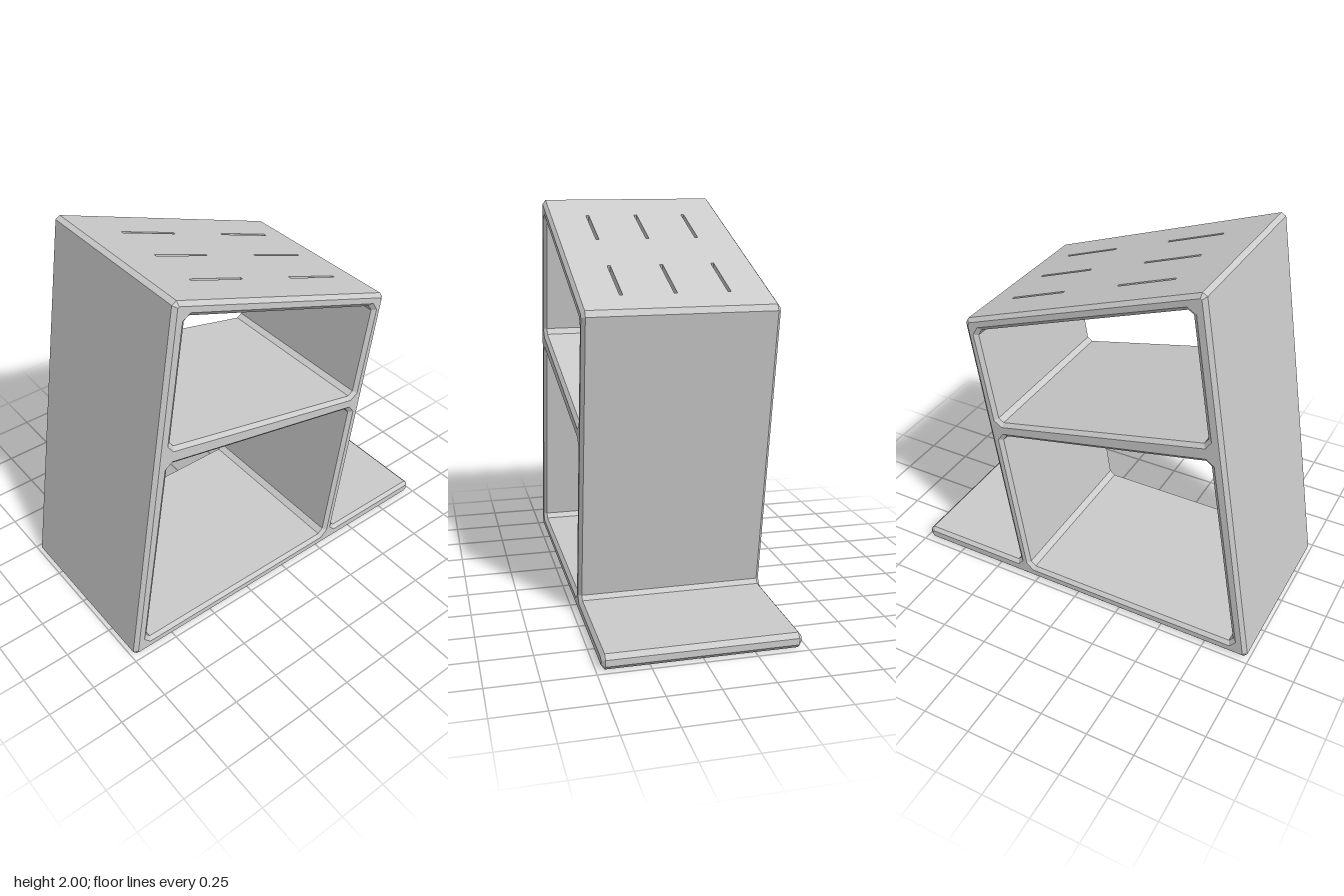
import * as THREE from 'three';
import { mergeGeometries } from 'three/addons/utils/BufferGeometryUtils.js';

const HALF = 0.475, BEVEL_Z = 0.017, BEVEL = 0.02;
const THICK = 0.07; // top panel thickness

// Top panel frame: origin at its upper left corner, u runs down the slope, n points out
const A = new THREE.Vector3(-0.66, 2.007, 0);
const B = new THREE.Vector3(0.593, 1.55, 0);
const u = B.clone().sub(A).normalize();
const n = new THREE.Vector3(-u.y, u.x, 0);
const Z = new THREE.Vector3(0, 0, 1);
const underside = (x) => A.y + (u.y / u.x) * (x - A.x) - THICK / u.x;

// Cut every corner of a polygon back by d
function chamfer(corners, d) {
  const pts = corners.map(([x, y]) => new THREE.Vector2(x, y));
  return pts.flatMap((p, i) => {
    const prev = pts[(i + pts.length - 1) % pts.length];
    const next = pts[(i + 1) % pts.length];
    return [prev, next].map((q) => p.clone().add(q.clone().sub(p).setLength(d)));
  });
}

// Distance of a point below the top panel's outer plane
const depthOf = (x, y) => -((x - A.x) * n.x + (y - A.y) * n.y);
// Extent along the slope of the profile points lying at a given depth
function span(pts, depth) {
  const us = pts.filter((p) => Math.abs(depthOf(p.x, p.y) - depth) < 1e-4)
    .map((p) => (p.x - A.x) * u.x + (p.y - A.y) * u.y);
  return [Math.min(...us), Math.max(...us)];
}

const slots = [];
for (const x of [-0.285, 0.295])
  for (const z of [-0.263, 0, 0.263]) slots.push({ u: (x - A.x) / u.x, z, l: 0.29 / u.x, w: 0.016 });

const rect = (T, x0, x1, y0, y1) => new T([[x0, y0], [x1, y0], [x1, y1], [x0, y1]]
  .map(([x, y]) => new THREE.Vector2(x, y)));

// One slotted face of the top panel
function slottedFace([u0, u1], depth, side) {
  const h = HALF - BEVEL_Z;
  const shape = rect(THREE.Shape, u0, u1, -h, h);
  for (const s of slots)
    shape.holes.push(rect(THREE.Path, s.u - s.l / 2, s.u + s.l / 2, s.z - s.w / 2, s.z + s.w / 2));
  const m = new THREE.Matrix4().makeBasis(u, Z.clone().multiplyScalar(-side), n.clone().multiplyScalar(side));
  m.setPosition(A.clone().addScaledVector(n, -depth));
  return new THREE.ShapeGeometry(shape).applyMatrix4(m).toNonIndexed();
}

// Four inward-facing walls of a slot
function slotWalls(s) {
  const g = new THREE.BoxGeometry(s.l, THICK, s.w);
  const index = Array.from(g.index.array).filter((_, i) => i < 12 || i >= 24);
  g.setIndex(index.reverse());
  g.applyMatrix4(new THREE.Matrix4().makeBasis(u, n, Z));
  const c = A.clone().addScaledVector(u, s.u).addScaledVector(n, -THICK / 2);
  g.translate(c.x, c.y, s.z);
  const flat = g.toNonIndexed();
  flat.computeVertexNormals();
  return flat;
}

export function createModel() {
  const group = new THREE.Group();
  const material = new THREE.MeshStandardMaterial({ color: 0xcccccc, flatShading: true });
  const add = (name, geometry) => {
    const mesh = new THREE.Mesh(geometry, material);
    mesh.name = name;
    group.add(mesh);
  };

  // Leaning frame with shelf and foot, as one profile with two openings
  const outer = chamfer([[-0.99, 0], [0.98, 0], [0.98, 0.076], [0.359, 0.076], [B.x, B.y], [A.x, A.y]], 0.022);
  const upper = chamfer([[-0.602, underside(-0.602)], [0.525, underside(0.525)],
    [0.437, 0.985], [-0.71, 1.25]], 0.025);
  const lower = chamfer([[-0.725, 1.155], [0.425, 0.905], [0.295, 0.07], [-0.907, 0.07]], 0.025);
  const profile = new THREE.Shape(outer);
  profile.holes.push(new THREE.Path(upper), new THREE.Path(lower));
  const solid = new THREE.ExtrudeGeometry(profile, {
    depth: 2 * (HALF - BEVEL_Z), bevelSegments: 1,
    bevelThickness: BEVEL_Z, bevelSize: BEVEL, bevelOffset: -BEVEL,
  }).translate(0, 0, -HALF + BEVEL_Z);

  // Leave out the two plain faces of the top panel, which get slots
  const p = solid.attributes.position;
  const kept = [];
  for (let i = 0; i < p.count; i += 3) {
    const tri = [i, i + 1, i + 2];
    const lies = (d) => tri.every((k) => Math.abs(depthOf(p.getX(k), p.getY(k)) - d) < 1e-4);
    if (!lies(0) && !lies(THICK)) for (const k of tri) kept.push(p.getX(k), p.getY(k), p.getZ(k));
  }
  const frame = new THREE.BufferGeometry();
  frame.setAttribute('position', new THREE.Float32BufferAttribute(kept, 3));
  frame.computeVertexNormals();
  add('frame', frame);

  // Slotted top panel and the walls of its slots
  add('topPanel', mergeGeometries([
    slottedFace(span(outer, 0), 0, 1),
    slottedFace(span(upper, THICK), THICK, -1),
  ]));
  add('ventSlots', mergeGeometries(slots.map(slotWalls)));
  return group;
}
